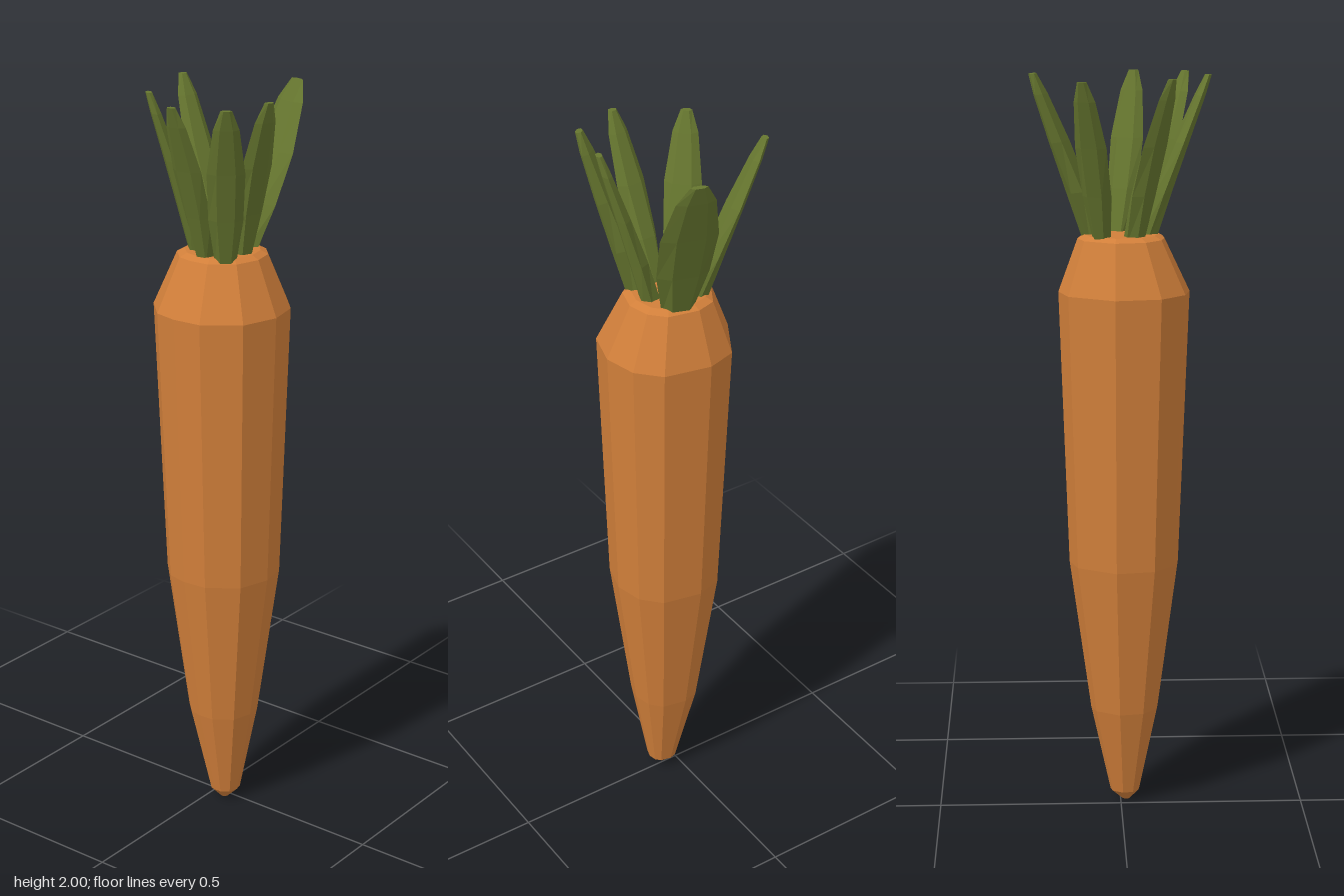
import * as THREE from 'three';

// Skin a closed, faceted surface over rings of [x, y, z] (bottom to top,
// each ring counter-clockwise seen from above).
function loft(rings, material, name) {
  const n = rings[0].length;
  const positions = [];
  const tri = (a, b, c) => positions.push(...a, ...b, ...c);
  const centre = (ring) => [0, 1, 2].map((k) => ring.reduce((s, p) => s + p[k], 0) / n);
  const first = rings[0], last = rings[rings.length - 1];
  const bottom = centre(first), top = centre(last);
  for (let i = 0; i < n; i++) {
    const j = (i + 1) % n;
    for (let r = 0; r < rings.length - 1; r++) {
      const lo = rings[r], hi = rings[r + 1];
      tri(lo[i], lo[j], hi[j]);
      tri(lo[i], hi[j], hi[i]);
    }
    tri(bottom, first[j], first[i]);
    tri(top, last[i], last[j]);
  }
  const geometry = new THREE.BufferGeometry();
  geometry.setAttribute('position', new THREE.Float32BufferAttribute(positions, 3));
  geometry.computeVertexNormals();
  const mesh = new THREE.Mesh(geometry, material);
  mesh.name = name;
  return mesh;
}

// Root: an uneven outline scaled along the height
function createRoot(material) {
  const outline = [
    [0.20, 0.01], [0.18, -0.08], [0.125, -0.14], [0, -0.165], [-0.08, -0.14], [-0.15, -0.02],
    [-0.13, 0.1], [-0.065, 0.165], [0, 0.18], [0.08, 0.175], [0.17, 0.11],
  ];
  const cx = 0.025, cz = 0.008;
  // [height, scale, centre x, centre z]
  const sections = [
    [0.0, 0.06, 0.04, 0.015],
    [0.03, 0.23, 0.04, 0.012],
    [0.28, 0.53, 0.032, 0.01],
    [0.7, 0.85, 0.03, 0.008],
    [1.44, 1.0, cx, cz],
    [1.58, 0.66, 0.02, 0.0],
    [1.59, 0.55, 0.02, 0.0],
  ];
  const rings = sections.map(([y, s, x, z]) =>
    outline.map(([px, pz]) => [x + (px - cx) * s, y, z + (pz - cz) * s]));
  return loft(rings, material, 'root');
}

// Leaf: a flattened hexagonal blade leaning from its base out to its tip
function createLeaf([bx, bz], [tx, tz], halfWidth, material) {
  const length = Math.hypot(tx - bx, tz - bz);
  const dx = (tx - bx) / length, dz = (tz - bz) / length;
  // [fraction of height, width factor, half thickness]
  const sections = [
    [0, 0.55, 0.028], [0.3, 0.92, 0.026], [0.6, 1, 0.02], [0.88, 0.68, 0.014], [1, 0.3, 0.009],
  ];
  const rings = sections.map(([t, w, thick]) => {
    const lean = Math.pow(t, 1.1);
    const x = bx + (tx - bx) * lean, z = bz + (tz - bz) * lean;
    return Array.from({ length: 6 }, (_, k) => {
      const a = Math.PI / 6 + (k * Math.PI) / 3;
      const out = Math.cos(a) * thick, side = Math.sin(a) * halfWidth * w;
      return [x + dx * out + dz * side, 1.57 + 0.43 * t, z + dz * out - dx * side];
    });
  });
  return loft(rings, material, 'leaf');
}

export function createModel() {
  const orange = new THREE.MeshStandardMaterial({ color: 0xd17f3a, flatShading: true });
  const green = new THREE.MeshStandardMaterial({ color: 0x66762f, flatShading: true });
  const model = new THREE.Group();
  model.name = 'carrot';
  model.add(createRoot(orange));

  // Crown of leaves: base, tip, half width
  const leaves = new THREE.Group();
  leaves.name = 'leaves';
  [
    [[0.04, -0.07], [0.085, -0.228], 0.075],
    [[-0.03, -0.05], [-0.193, -0.105], 0.042],
    [[-0.03, 0.03], [-0.118, 0.125], 0.048],
    [[0.02, 0.065], [0.036, 0.227], 0.042],
    [[0.075, 0.06], [0.165, 0.175], 0.048],
    [[0.075, -0.005], [0.193, 0.04], 0.045],
  ].forEach(([base, tip, halfWidth]) => leaves.add(createLeaf(base, tip, halfWidth, green)));
  model.add(leaves);
  return model;
}
